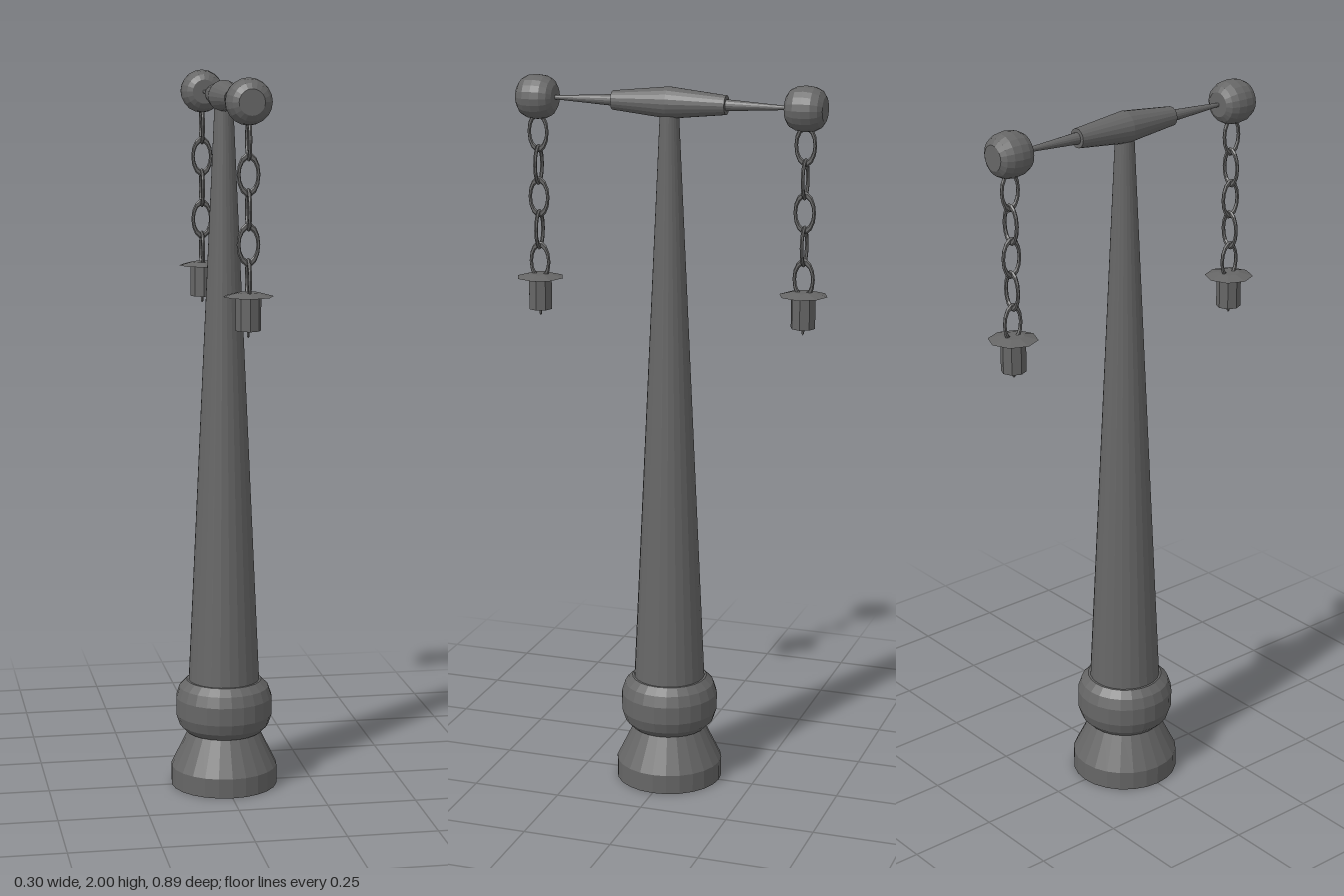
import * as THREE from 'three';

const iron = new THREE.MeshStandardMaterial({ color: 0x666666, flatShading: true, side: THREE.DoubleSide });

function mesh(name, geometry, parent) {
  const m = new THREE.Mesh(geometry, iron);
  m.name = name;
  parent.add(m);
  return m;
}

// Turned part from [radius, height] pairs
function turned(name, profile, sides, parent) {
  const points = profile.map(([r, y]) => new THREE.Vector2(r, y));
  return mesh(name, new THREE.LatheGeometry(points, sides), parent);
}

// Oval chain link standing upright in the xy plane
function linkGeometry() {
  const g = new THREE.TorusGeometry(0.026, 0.005, 6, 14);
  g.scale(1, 1.85, 1);
  return g;
}

// Ball, chain and lantern hanging from the end of the arm
function hangingLamp(name) {
  const lamp = new THREE.Group();
  lamp.name = name;

  const ball = turned('armBall', [
    [0, -0.052], [0.034, -0.052], [0.049, -0.042], [0.058, -0.024], [0.061, 0],
    [0.058, 0.024], [0.049, 0.042], [0.034, 0.052], [0, 0.052],
  ], 20, lamp);
  ball.rotation.x = Math.PI / 2;
  ball.position.y = 1.939;

  const link = linkGeometry();
  for (let i = 0; i < 5; i++) {
    const m = mesh('chainLink', link, lamp);
    m.position.y = 1.843 - i * 0.09;
    m.rotation.y = i % 2 ? 0 : Math.PI / 2;
  }

  // Lantern: wide shallow hat, eight-sided body and a small pin below
  turned('lanternHat', [[0, 1.436], [0.067, 1.439], [0.03, 1.449], [0, 1.449]], 8, lamp);
  turned('lanternBody', [[0, 1.35], [0.034, 1.35], [0.034, 1.44], [0, 1.44]], 8, lamp);
  turned('lanternPin', [[0, 1.33], [0.004, 1.335], [0.004, 1.352]], 6, lamp);
  return lamp;
}

export function createModel() {
  const model = new THREE.Group();
  model.name = 'lampPost';

  // Post
  turned('foot', [[0, 0], [0.15, 0], [0.15, 0.055], [0.1, 0.157], [0, 0.157]], 24, model);
  turned('collar', [
    [0, 0.155], [0.106, 0.155], [0.126, 0.175], [0.136, 0.205], [0.136, 0.255],
    [0.126, 0.285], [0.106, 0.305], [0, 0.305],
  ], 24, model);
  turned('pole', [[0.1, 0.305], [0.025, 1.93], [0, 1.93]], 24, model);

  // Cross arm along z: thick spindle in the middle, thin tapered ends
  const arm = new THREE.Group();
  arm.name = 'crossArm';
  arm.position.y = 1.939;
  arm.rotation.x = Math.PI / 2;
  model.add(arm);
  turned('armSpindle', [[0, -0.16], [0.026, -0.16], [0.043, 0], [0.026, 0.16], [0, 0.16]], 20, arm);
  for (const s of [-1, 1]) {
    const tip = turned('armTip', [[0.016, 0.155], [0.005, 0.335]], 16, arm);
    if (s < 0) tip.rotation.x = Math.PI;
  }

  // Lamps at both ends
  for (const s of [-1, 1]) {
    const lamp = hangingLamp(s > 0 ? 'frontLamp' : 'backLamp');
    lamp.position.z = s * 0.379;
    model.add(lamp);
  }
  return model;
}
